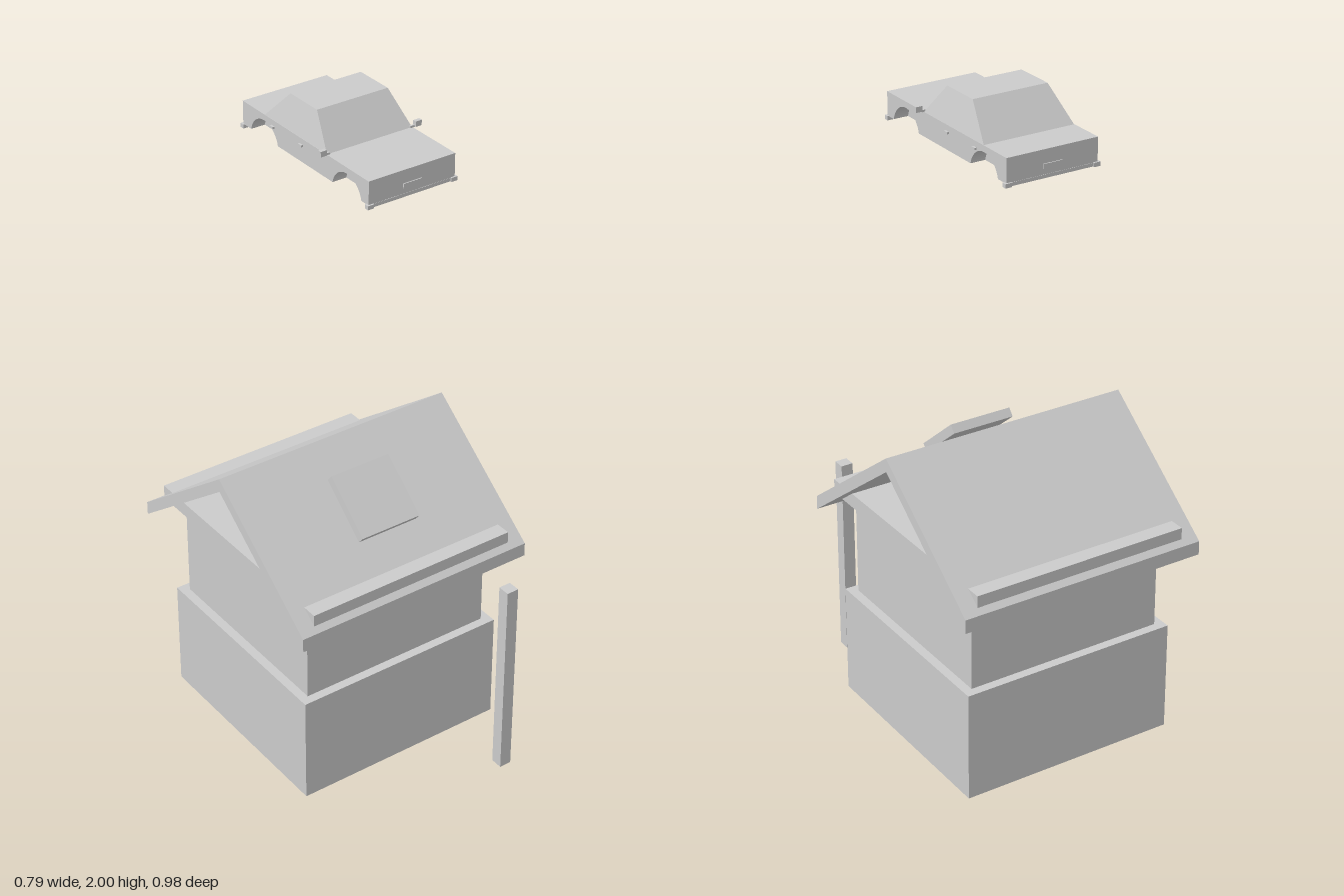
import * as THREE from 'three';

const grey = new THREE.MeshStandardMaterial({ color: 0xcccccc, flatShading: true });

function add(parent, name, geometry, x = 0, y = 0, z = 0) {
  const mesh = new THREE.Mesh(geometry, grey);
  mesh.name = name;
  mesh.position.set(x, y, z);
  parent.add(mesh);
  return mesh;
}

// Box given by its extents along each axis
function box(parent, name, [x0, x1], [y0, y1], [z0, z1]) {
  return add(parent, name, new THREE.BoxGeometry(x1 - x0, y1 - y0, z1 - z0),
    (x0 + x1) / 2, (y0 + y1) / 2, (z0 + z1) / 2);
}

// Side profile in (z, y), extruded across x and centred
function extrudeAcross(shape, width) {
  return new THREE.ExtrudeGeometry(shape, { depth: width, bevelEnabled: false, curveSegments: 12 })
    .translate(0, 0, -width / 2)
    .rotateY(-Math.PI / 2);
}

function createHouse() {
  const house = new THREE.Group();
  house.name = 'house';
  const mid = -0.081;

  box(house, 'lowerWalls', [-0.343, 0.343], [0, 0.345], [mid - 0.343, mid + 0.343]);
  box(house, 'upperWalls', [-0.315, 0.315], [0.345, 0.65], [mid - 0.315, mid + 0.315]);
  // Attic floor, its edges pass through the roof slopes
  box(house, 'atticFloor', [-0.343, 0.343], [0.65, 0.695], [mid - 0.392, mid + 0.392]);

  // Gable roof with open ends
  const profile = [[0.41, 0.602], [0.41, 0.645], [0, 0.955], [-0.41, 0.645], [-0.41, 0.602], [0, 0.912]];
  const roof = new THREE.Shape(profile.map(([z, y]) => new THREE.Vector2(z + mid, y)));
  add(house, 'roof', extrudeAcross(roof, 0.786));

  // Tilted panel above the front slope
  const panel = add(house, 'roofPanel', new THREE.BoxGeometry(0.2, 0.028, 0.2), 0, 0.846, 0.118);
  panel.rotation.x = THREE.MathUtils.degToRad(40);

  box(house, 'post', [0.201, 0.239], [0, 0.643], [0.452, 0.49]);
  return house;
}

function createCar() {
  const car = new THREE.Group();
  car.name = 'car';
  const bottom = 1.838, belt = 1.908, front = 0.186, rear = -0.405;
  const half = 0.141, wellDepth = 0.045;

  // Body core between the wheel wells
  const coreHalf = half - wellDepth;
  box(car, 'bodyCore', [-coreHalf, coreHalf], [bottom, belt], [rear, front]);

  // Body sides with wheel arches cut out
  const radius = 0.067, axleY = 1.823;
  const lift = Math.asin((bottom - axleY) / radius);
  const side = new THREE.Shape();
  side.moveTo(rear, bottom);
  for (const axleZ of [-0.3, 0.088]) {
    side.lineTo(axleZ - radius * Math.cos(lift), bottom);
    side.absarc(axleZ, axleY, radius, Math.PI - lift, lift, true);
  }
  side.lineTo(front, bottom);
  side.lineTo(front, belt);
  side.lineTo(rear, belt);
  side.closePath();
  const sideGeometry = extrudeAcross(side, wellDepth);

  // Cabin: a box tapered to a smaller roof
  const cabin = new THREE.BoxGeometry(2, 2, 2).toNonIndexed();
  const p = cabin.attributes.position;
  for (let i = 0; i < p.count; i++) {
    const top = p.getY(i) > 0, ahead = p.getZ(i) > 0;
    p.setXYZ(i, p.getX(i) * (top ? 0.116 : 0.14), top ? 2 : belt,
      top ? (ahead ? -0.083 : -0.207) : (ahead ? -0.004 : -0.297));
  }
  cabin.computeVertexNormals();
  add(car, 'cabin', cabin);

  for (const s of [-1, 1]) {
    const label = s > 0 ? 'left' : 'right';
    add(car, label + 'BodySide', sideGeometry, s * (half - wellDepth / 2));
    add(car, label + 'Mirror', new THREE.BoxGeometry(0.02, 0.016, 0.012), s * 0.156, 1.918, -0.001);
    add(car, label + 'MirrorArm', new THREE.BoxGeometry(0.016, 0.006, 0.006), s * 0.14, 1.911, -0.003);
    for (const z of [-0.122, -0.257])
      add(car, label + 'DoorHandle', new THREE.BoxGeometry(0.006, 0.006, 0.015), s * (half + 0.003), 1.888, z);
  }

  // Bumper corners, lower lips and plates at both ends
  for (const [label, z, s] of [['front', front, 1], ['rear', rear, -1]]) {
    add(car, label + 'Lip', new THREE.BoxGeometry(0.284, 0.01, 0.01), 0, 1.834, z - s * 0.004);
    add(car, label + 'Plate', new THREE.BoxGeometry(0.06, 0.014, 0.004), 0, 1.862, z + s * 0.001);
    for (const x of [-0.137, 0.137])
      add(car, label + 'BumperCorner', new THREE.BoxGeometry(0.02, 0.012, 0.014), x, 1.834, z - s * 0.002);
  }

  car.position.x = 0.069;
  return car;
}

export function createModel() {
  const model = new THREE.Group();
  model.name = 'houseWithCar';
  model.add(createHouse(), createCar());
  return model;
}
